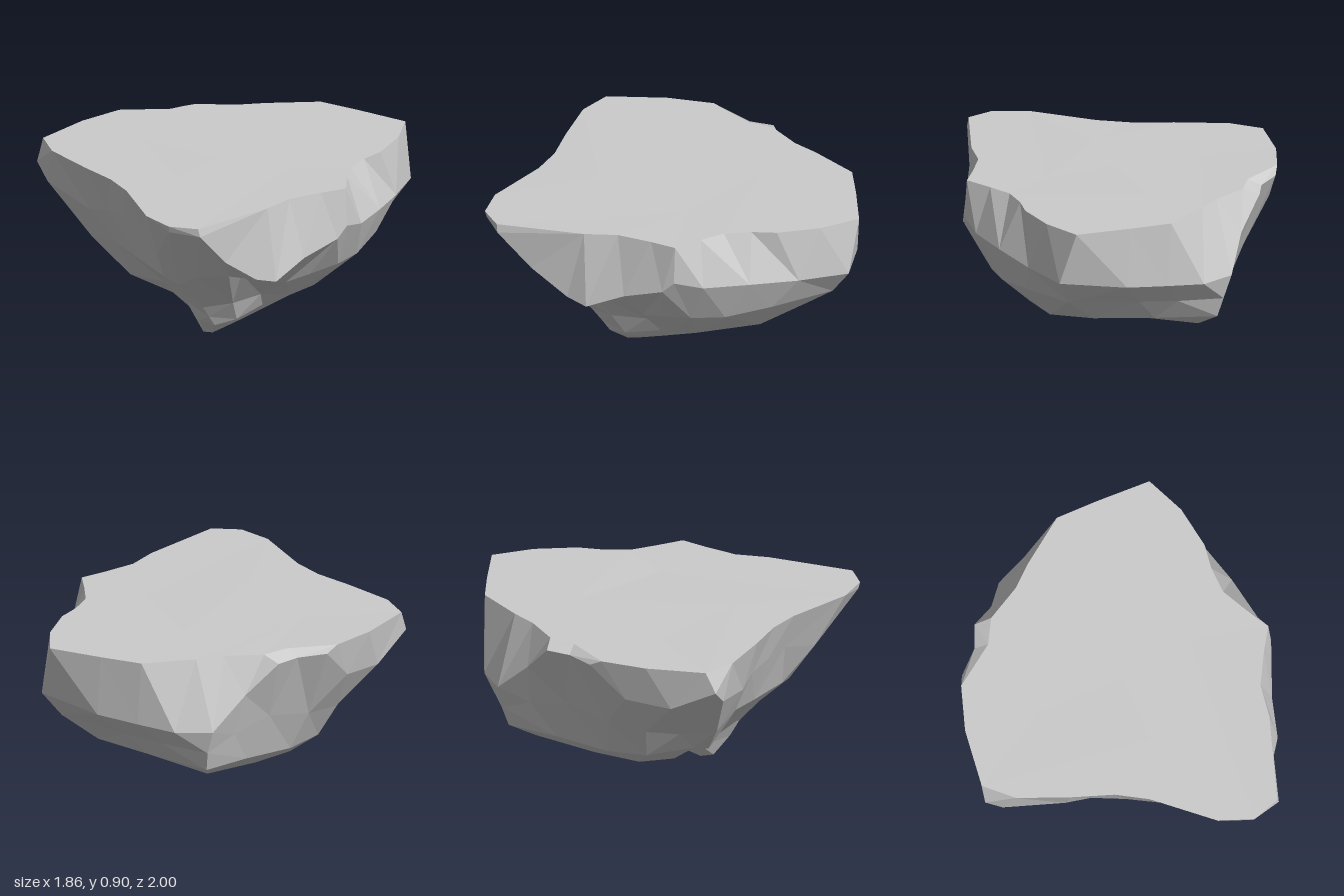
import * as THREE from 'three';

// Flat upper rim outline: [x, z]
const rim = [
  [-0.62, -0.58], [-0.36, -0.66], [-0.25, -0.76], [-0.04, -0.8], [0.1, -0.86], [0.38, -0.95], [0.6, -0.88],
  [0.88, -0.78], [0.9, -0.55], [0.86, -0.32], [0.8, -0.2], [0.76, -0.06], [0.78, 0.08], [0.81, 0.24],
  [0.7, 0.33], [0.56, 0.46], [0.48, 0.62], [0.2, 1], [0.04, 1], [-0.11, 0.88], [-0.3, 0.55],
  [-0.42, 0.41], [-0.6, 0.27], [-0.82, 0.08], [-0.91, -0.09], [-0.77, -0.38],
].map(([x, z]) => [x, 0.895, z]);

// Slight relief inside the flat top
const plateau = [[0.45, 0.89, 0.02], [-0.08, 0.897, 0.3], [-0.4, 0.892, -0.2], [0.2, 0.895, -0.5]];

// Cross-sections of the rock below the rim: [x, y, z]
const shoulder = [
  [0.93, 0.61, -0.7], [0.92, 0.62, -0.42], [0.9, 0.64, -0.15], [0.86, 0.65, 0.1], [0.82, 0.69, 0.25],
  [0.78, 0.63, 0.3], [0.64, 0.57, 0.46], [0.53, 0.49, 0.63], [0.44, 0.52, 0.7], [0.31, 0.66, 0.85], [0.21, 0.85, 1],
  [0.04, 0.86, 0.99], [-0.09, 0.62, 0.72], [-0.23, 0.69, 0.52], [-0.35, 0.69, 0.4], [-0.47, 0.67, 0.28],
  [-0.58, 0.63, 0.2], [-0.86, 0.7, 0.02], [-0.93, 0.78, -0.04], [-0.8, 0.66, -0.25], [-0.66, 0.68, -0.46],
  [-0.57, 0.86, -0.63], [-0.42, 0.86, -0.7], [-0.33, 0.86, -0.8], [-0.16, 0.7, -0.86],
  [0, 0.53, -0.98], [0.2, 0.53, -1], [0.4, 0.55, -0.95], [0.62, 0.57, -0.88],
];
const waist = [
  [0.83, 0.47, -0.65], [0.84, 0.45, -0.3], [0.8, 0.42, -0.05], [0.74, 0.42, 0.12], [0.62, 0.4, 0.25],
  [0.5, 0.36, 0.3], [0.4, 0.42, 0.44], [0.32, 0.48, 0.54], [0.29, 0.52, 0.69], [0.13, 0.52, 0.74], [-0.01, 0.41, 0.6],
  [-0.1, 0.43, 0.54], [-0.28, 0.43, 0.34], [-0.43, 0.45, 0.2], [-0.61, 0.42, 0.05], [-0.6, 0.42, -0.15],
  [-0.59, 0.45, -0.33], [-0.46, 0.47, -0.5], [-0.27, 0.52, -0.68], [-0.1, 0.47, -0.83], [0.03, 0.4, -0.95],
  [0.28, 0.42, -0.88], [0.48, 0.44, -0.81],
];
const belly = [
  [0.64, 0.33, -0.62], [0.68, 0.27, -0.3], [0.58, 0.24, 0], [0.48, 0.22, 0.12], [0.34, 0.24, 0.2], [0.23, 0.24, 0.36],
  [0.08, 0.22, 0.41], [-0.03, 0.33, 0.46], [-0.18, 0.27, 0.22], [-0.4, 0.23, 0.06], [-0.52, 0.3, -0.05], [-0.49, 0.27, -0.3],
  [-0.36, 0.26, -0.48], [-0.15, 0.28, -0.7], [0.04, 0.29, -0.91], [0.35, 0.31, -0.77],
];
const underside = [
  [0.43, 0.15, -0.04], [0.33, 0.15, 0.12], [0.23, 0.12, 0.28], [0.1, 0.15, 0.36], [-0.02, 0.2, 0.31], [-0.17, 0.15, 0.06],
  [-0.3, 0.15, -0.1], [-0.34, 0.17, -0.3], [-0.18, 0.18, -0.5], [0.05, 0.21, -0.76], [0.32, 0.26, -0.6], [0.5, 0.24, -0.36],
];
const neck = [
  [0.26, 0.075, 0.08], [0.21, 0.09, 0.26], [0.12, 0.09, 0.32], [0.03, 0.1, 0.29],
  [-0.07, 0.1, 0.11], [-0.08, 0.13, -0.04], [0.1, 0.14, -0.08], [0.26, 0.13, -0.05],
];
const tip = [[0.1, 0, 0.14], [0.08, 0, 0.2], [0.03, 0, 0.2], [0.03, 0, 0.13]];

// Joins two loops of any point count, walking round a shared centre by angle
function stitch(upper, lower, [cx, cz], out) {
  const sorted = (ring) => ring
    .map((p) => ({ p, a: Math.atan2(p[2] - cz, p[0] - cx) }))
    .sort((m, n) => m.a - n.a);
  const u = sorted(upper), l = sorted(lower);
  const at = (ring, i) => ring[i % ring.length].p;
  const angle = (ring, i) => ring[i % ring.length].a + (i >= ring.length ? Math.PI * 2 : 0);
  let i = 0, j = 0;
  while (i < u.length || j < l.length) {
    const stepUpper = j >= l.length || (i < u.length && angle(u, i + 1) < angle(l, j + 1));
    if (stepUpper) {
      if (u.length > 1) out.push(...at(u, i), ...at(u, i + 1), ...at(l, j));
      i++;
    } else {
      if (l.length > 1) out.push(...at(u, i), ...at(l, j + 1), ...at(l, j));
      j++;
    }
  }
}

function facetedMesh(name, rings, centres) {
  const positions = [];
  for (let k = 0; k < rings.length - 1; k++) stitch(rings[k], rings[k + 1], centres[k], positions);
  const geometry = new THREE.BufferGeometry();
  geometry.setAttribute('position', new THREE.Float32BufferAttribute(positions, 3));
  geometry.computeVertexNormals();
  const mesh = new THREE.Mesh(geometry, new THREE.MeshStandardMaterial({ color: 0xcccccc, flatShading: true }));
  mesh.name = name;
  return mesh;
}

export function createModel() {
  const model = new THREE.Group();
  model.name = 'floatingRock';
  const mid = [0.05, -0.05], low = [0.06, 0.165];

  // Flat ground surface
  model.add(facetedMesh('flatTop', [[[0.05, 0.894, -0.05]], plateau, rim], [mid, mid]));

  // Craggy body tapering to a small blunt point
  model.add(facetedMesh('rockBody',
    [rim, shoulder, waist, belly, underside, neck, tip, [[0.06, 0, 0.165]]],
    [mid, mid, mid, mid, [0.08, 0.08], low, low]));

  return model;
}
